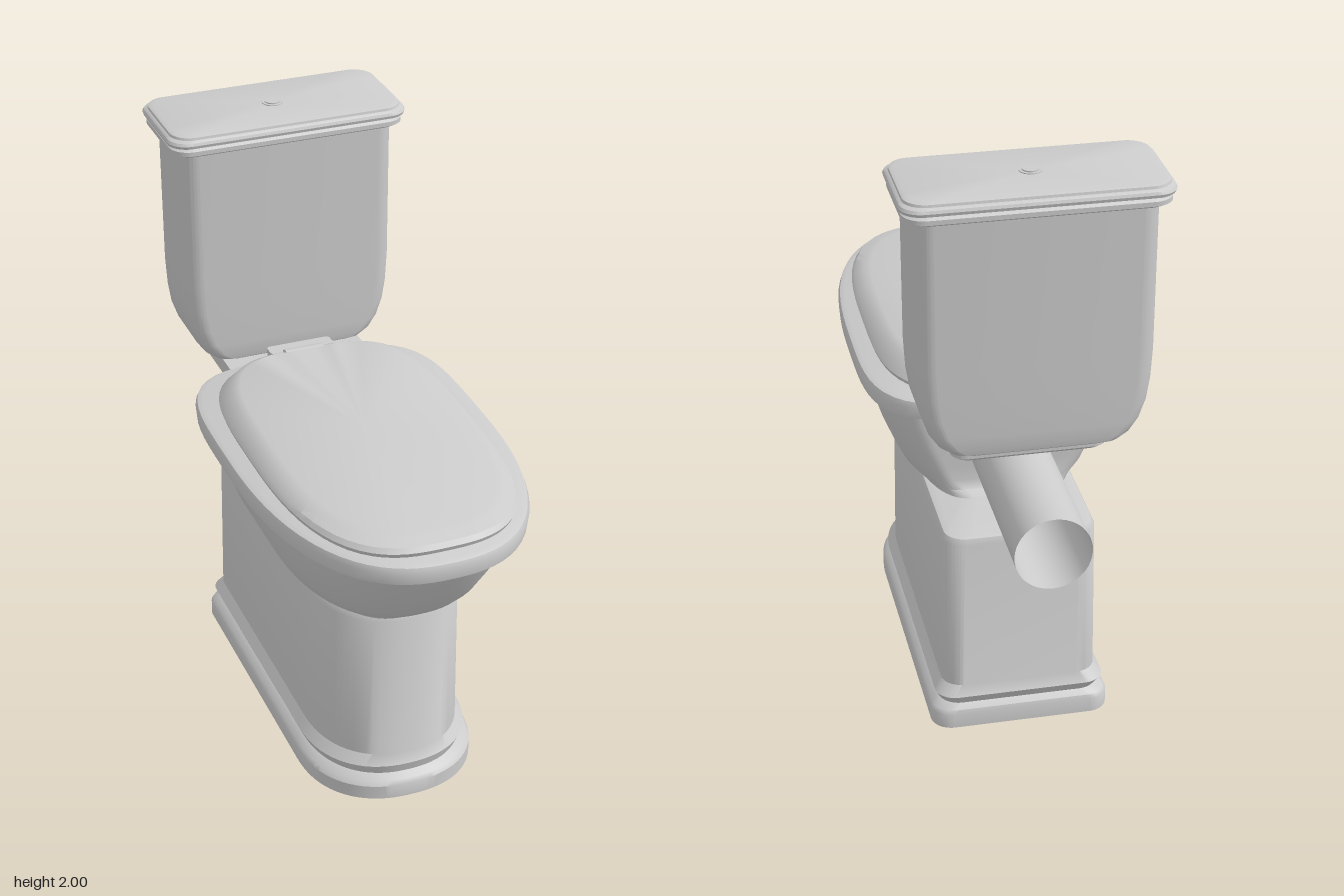
import * as THREE from 'three';
import { toCreasedNormals } from 'three/addons/utils/BufferGeometryUtils.js';

const material = new THREE.MeshStandardMaterial({ color: 0xcccccc });
const openMaterial = new THREE.MeshStandardMaterial({ color: 0xcccccc, side: THREE.DoubleSide });
const STEPS = 20; // segments per rounded corner

// Closed outline with half width hw from back zb to front zf.
// front / back: corner [rx, rz, n], n = superellipse power (2 = elliptical).
function outline(hw, zb, zf, front, back) {
  const pts = [];
  for (let q = 0; q < 4; q++) {
    const [rx, rz, n] = q < 2 ? front : back;
    const sx = q === 0 || q === 3 ? 1 : -1;
    const sz = q < 2 ? 1 : -1;
    for (let i = 0; i <= STEPS; i++) {
      const a = (q + i / STEPS) * Math.PI / 2;
      const c = Math.abs(Math.cos(a)), s = Math.abs(Math.sin(a));
      const r = 1 / Math.pow(c ** n + s ** n, 1 / n);
      pts.push([sx * (hw - rx + rx * r * c), (q < 2 ? zf - rz : zb + rz) + sz * rz * r * s]);
    }
  }
  return pts;
}

// Skin a stack of outlines, bottom to top, with both ends capped.
function loft(name, levels, crease = 0.6) {
  const pos = [], index = [];
  const n = 4 * (STEPS + 1);
  levels.forEach(({ y, pts, tilt = 0 }) => pts.forEach(([x, z]) => pos.push(x, y - tilt * z, z)));
  for (let k = 0; k < levels.length - 1; k++) {
    for (let j = 0; j < n; j++) {
      const a = k * n + j, b = k * n + (j + 1) % n;
      index.push(a, a + n, b, b, a + n, b + n);
    }
  }
  [0, levels.length - 1].forEach((k) => {
    const { y, pts, tilt = 0 } = levels[k];
    const cz = pts.reduce((s, p) => s + p[1], 0) / n;
    const centre = pos.length / 3;
    pos.push(0, y - tilt * cz, cz);
    for (let j = 0; j < n; j++) {
      const a = k * n + j, b = k * n + (j + 1) % n;
      if (k === 0) index.push(centre, a, b);
      else index.push(centre, b, a);
    }
  });
  const geo = new THREE.BufferGeometry();
  geo.setAttribute('position', new THREE.Float32BufferAttribute(pos, 3));
  geo.setIndex(index);
  const mesh = new THREE.Mesh(toCreasedNormals(geo, crease), material);
  mesh.name = name;
  return mesh;
}

// Rounded box outline used by the cistern parts.
const boxOutline = (hw, zb, zf, r) => outline(hw, zb, zf, [r, r, 2], [r, r, 2]);

export function createModel() {
  const model = new THREE.Group();
  model.name = 'toilet';

  // Pedestal with stepped plinth, round at the front: [y, hw, zb, zf]
  const pedestal = loft('pedestal', [
    [0, 0.3, -0.605, 0.695], [0.05, 0.3, -0.605, 0.695], [0.065, 0.292, -0.6, 0.685],
    [0.08, 0.27, -0.58, 0.66], [0.115, 0.285, -0.6, 0.67], [0.15, 0.26, -0.58, 0.65],
    [0.69, 0.255, -0.578, 0.65], [0.71, 0.245, -0.57, 0.64], [0.717, 0.225, -0.55, 0.62],
  ].map(([y, hw, zb, zf]) => ({
    y, pts: outline(hw, zb, zf, [hw, 0.32, 2.3], [0.07, 0.07, 2]),
  })));
  pedestal.position.x = 0.006;
  model.add(pedestal);

  // Flaring bowl with a flat back
  model.add(loft('bowl', [
    [0.7, 0.25, -0.34, 0.645], [0.722, 0.256, -0.33, 0.655], [0.737, 0.28, -0.305, 0.69],
    [0.77, 0.312, -0.296, 0.74], [0.82, 0.337, -0.295, 0.79], [0.9, 0.37, -0.295, 0.845],
    [0.98, 0.396, -0.295, 0.9], [1.06, 0.415, -0.295, 0.945],
  ].map(([y, hw, zb, zf]) => ({
    y, pts: outline(hw, zb, zf, [hw, zf - 0.2, 2.4], [0.14, 0.3, 2.2]),
  })), 0.8));

  // Rim around the bowl
  model.add(loft('rim', [
    [1.05, 0.43, -0.385, 0.96], [1.06, 0.45, -0.405, 0.982], [1.1, 0.453, -0.41, 0.988],
    [1.118, 0.447, -0.405, 0.98], [1.125, 0.43, -0.39, 0.965],
  ].map(([y, hw, zb, zf]) => ({
    y, pts: outline(hw, zb, zf, [hw, zf - 0.15, 2.5], [hw, 0.15 - zb, 4]),
  }))));

  // Shelf carrying the cistern
  model.add(loft('cisternShelf', [
    [1.055, 0.24, -0.66, -0.29], [1.065, 0.25, -0.67, -0.28], [1.122, 0.25, -0.67, -0.28],
  ].map(([y, hw, zb, zf]) => ({ y, pts: boxOutline(hw, zb, zf, 0.05) }))));

  // Seat cover, sloping down to the front and notched for the hinge
  model.add(loft('seatCover', [
    [1.12, 0.385, -0.35, 0.92, 0], [1.14, 0.392, -0.357, 0.928, 0],
    [1.155, 0.382, -0.345, 0.915, 0], [1.186, 0.35, -0.315, 0.88, 0.024],
    [1.198, 0.325, -0.292, 0.855, 0.03],
  ].map(([y, hw, zb, zf, tilt]) => ({
    y, tilt,
    pts: outline(hw, zb, zf, [hw, zf - 0.2, 2.9], [hw, 0.2 - zb, 3.5])
      .map(([x, z]) => [x, Math.abs(x) < 0.08 ? Math.max(z, -0.285) : z]),
  })), 0.5));

  // Hinge: block behind the cover and barrel in the notch
  const hinge = new THREE.Group();
  hinge.name = 'hinge';
  hinge.add(loft('hingeBlock', [1.12, 1.18].map((y) => ({
    y, pts: boxOutline(0.115, -0.39, -0.335, 0.012),
  }))));
  const barrel = new THREE.Mesh(new THREE.CylinderGeometry(0.03, 0.03, 0.14, 24), material);
  barrel.name = 'hingeBarrel';
  barrel.rotation.z = Math.PI / 2;
  barrel.position.set(0, 1.165, -0.32);
  hinge.add(barrel);
  model.add(hinge);

  // Cistern tank, its sides curving in at the bottom
  const tank = [[1.12, 0.25, 0.015], [1.128, 0.275, 0.004], [1.15, 0.305, 0], [1.19, 0.333, 0],
    [1.25, 0.354, 0], [1.32, 0.365, 0], [1.42, 0.371, 0], [1.93, 0.374, 0]];
  model.add(loft('cisternTank', tank.map(([y, hw, inset]) => ({
    y, pts: boxOutline(hw, -0.762 + inset, -0.438 - inset, 0.06),
  }))));

  // Moulded cistern lid: [y, inset]
  model.add(loft('cisternLid', [
    [1.918, 0.02], [1.925, 0.01], [1.94, 0.01], [1.948, 0.02], [1.955, 0.003],
    [1.965, 0], [1.974, 0.004], [1.98, 0.014], [1.988, 0.016], [1.993, 0.03],
  ].map(([y, d]) => ({ y, pts: boxOutline(0.42 - d, -0.8 + d, -0.405 - d, 0.07) }))));

  // Flush button with collar
  [['buttonCollar', 0.036, 1.99], ['flushButton', 0.027, 1.994]].forEach(([name, r, y]) => {
    const part = new THREE.Mesh(new THREE.CylinderGeometry(r, r, 0.012, 32), material);
    part.name = name;
    part.position.set(-0.005, y, -0.6);
    model.add(part);
  });

  // Open waste pipe
  const pipe = new THREE.Mesh(new THREE.CylinderGeometry(0.123, 0.123, 0.71, 40, 1, true), openMaterial);
  pipe.name = 'wastePipe';
  pipe.rotation.x = Math.PI / 2;
  pipe.position.set(0, 0.888, -0.635);
  model.add(pipe);

  return model;
}
